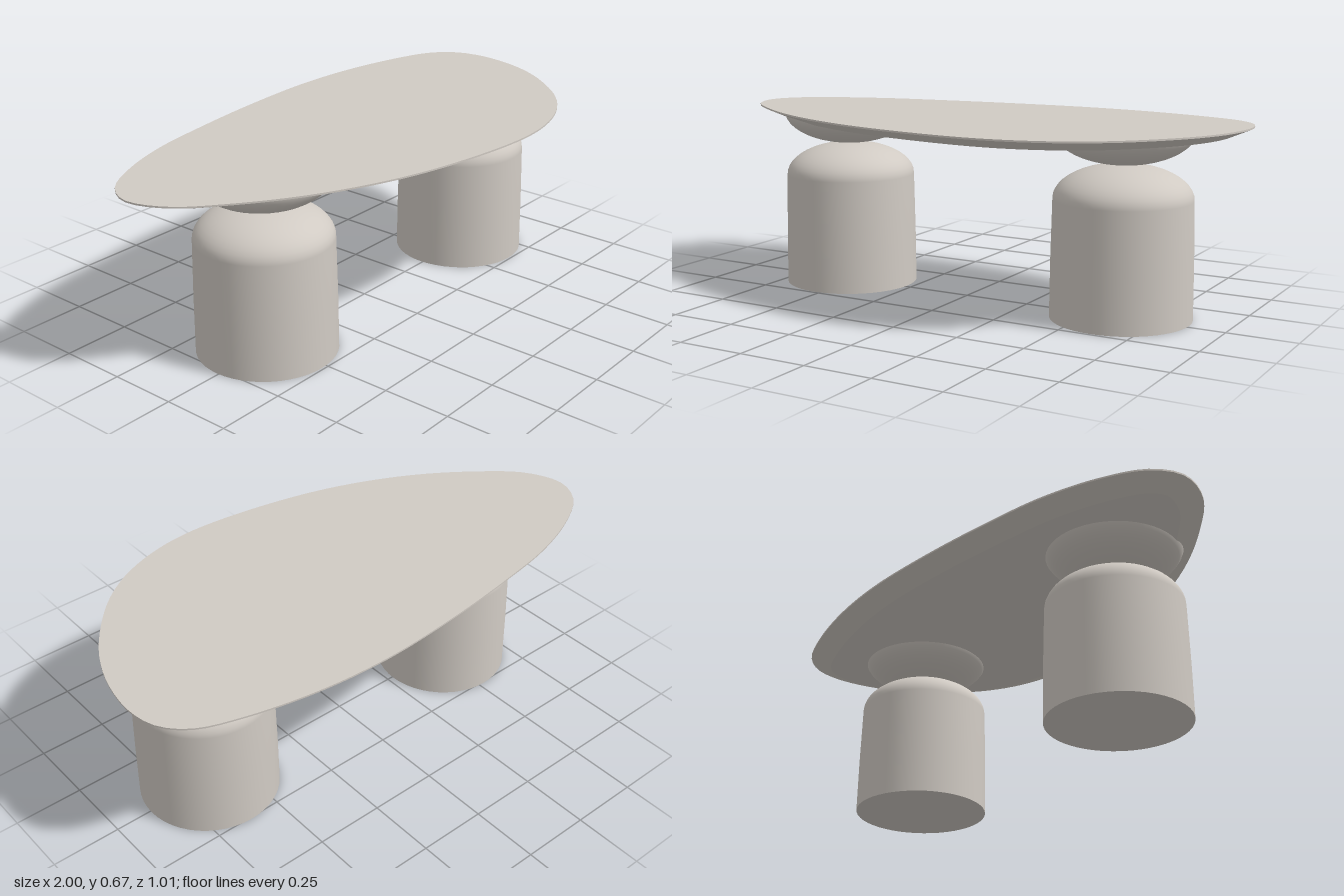
import * as THREE from 'three';

const stone = new THREE.MeshStandardMaterial({ color: 0xd0cac3 });
stone.name = 'warm grey stone';

// Organic outline of the top as [x, z], running left, back, right, front
const OUTLINE = [
  [-1, -0.137], [-0.95, -0.245], [-0.81, -0.335], [-0.61, -0.407], [-0.38, -0.45], [-0.1, -0.487],
  [0.23, -0.508], [0.5, -0.49], [0.75, -0.438], [0.9, -0.38], [0.975, -0.3], [1, -0.19],
  [0.98, -0.04], [0.93, 0.09], [0.86, 0.2], [0.74, 0.335], [0.61, 0.425], [0.45, 0.483],
  [0.28, 0.503], [0, 0.476], [-0.3, 0.405], [-0.58, 0.285], [-0.8, 0.14], [-0.95, 0.0],
];
const STEPS = 120;

// Closed strip between an upper and a lower ring of points
function band(upper, lower) {
  const n = upper.length, index = [];
  for (let i = 0; i < n; i++) {
    const j = (i + 1) % n;
    index.push(i, j, n + j, i, n + j, n + i);
  }
  const geometry = new THREE.BufferGeometry().setFromPoints([...upper, ...lower]);
  geometry.setIndex(index);
  geometry.computeVertexNormals();
  return geometry;
}

function add(parent, name, geometry) {
  const mesh = new THREE.Mesh(geometry, stone);
  mesh.name = name;
  parent.add(mesh);
  return mesh;
}

function createTop() {
  const top = new THREE.Group();
  top.name = 'tableTop';
  const curve = new THREE.CatmullRomCurve3(OUTLINE.map(([x, z]) => new THREE.Vector3(x, 0, z)), true);

  // Ring of outline points at a height, moved inward along the normal
  const ring = (y, inset) => Array.from({ length: STEPS }, (_, i) => {
    const p = curve.getPointAt(i / STEPS), t = curve.getTangentAt(i / STEPS);
    return new THREE.Vector3(p.x - t.z * inset, y, p.z + t.x * inset);
  });
  const centre = y => Array.from({ length: STEPS }, () => new THREE.Vector3(0, y, 0));

  const upper = ring(0.668, 0), lip = ring(0.662, 0), under = ring(0.628, 0.08);
  add(top, 'topSurface', band(centre(0.668), upper));
  add(top, 'thinEdge', band(upper, lip));
  add(top, 'underBevel', band(lip, under));
  add(top, 'underside', band(under, centre(0.628)));
  return top;
}

function createLeg(name, x) {
  const leg = new THREE.Group();
  leg.name = name;
  leg.position.set(x, 0, -0.008);

  // Slightly tapered drum with a domed shoulder
  const drum = [new THREE.Vector2(0.25, 0), new THREE.Vector2(0.248, 0.2)];
  for (let i = 0; i <= 12; i++) {
    const a = (i / 12) * Math.PI / 2;
    drum.push(new THREE.Vector2(0.243 * Math.cos(a), 0.42 + 0.122 * Math.sin(a)));
  }
  add(leg, 'drum', new THREE.LatheGeometry(drum, 48));
  add(leg, 'drumBase', new THREE.CircleGeometry(0.25, 48)).rotation.x = Math.PI / 2;

  // Shallow bowl that carries the top
  const bowl = [];
  for (let i = 0; i <= 12; i++) {
    const a = (i / 12) * Math.PI / 2;
    bowl.push(new THREE.Vector2(0.248 * Math.sin(a), 0.664 - 0.124 * Math.cos(a)));
  }
  add(leg, 'bowl', new THREE.LatheGeometry(bowl, 48));
  return leg;
}

export function createModel() {
  const table = new THREE.Group();
  table.name = 'table';
  table.add(createTop(), createLeg('rightLeg', -0.523), createLeg('leftLeg', 0.615));
  return table;
}
